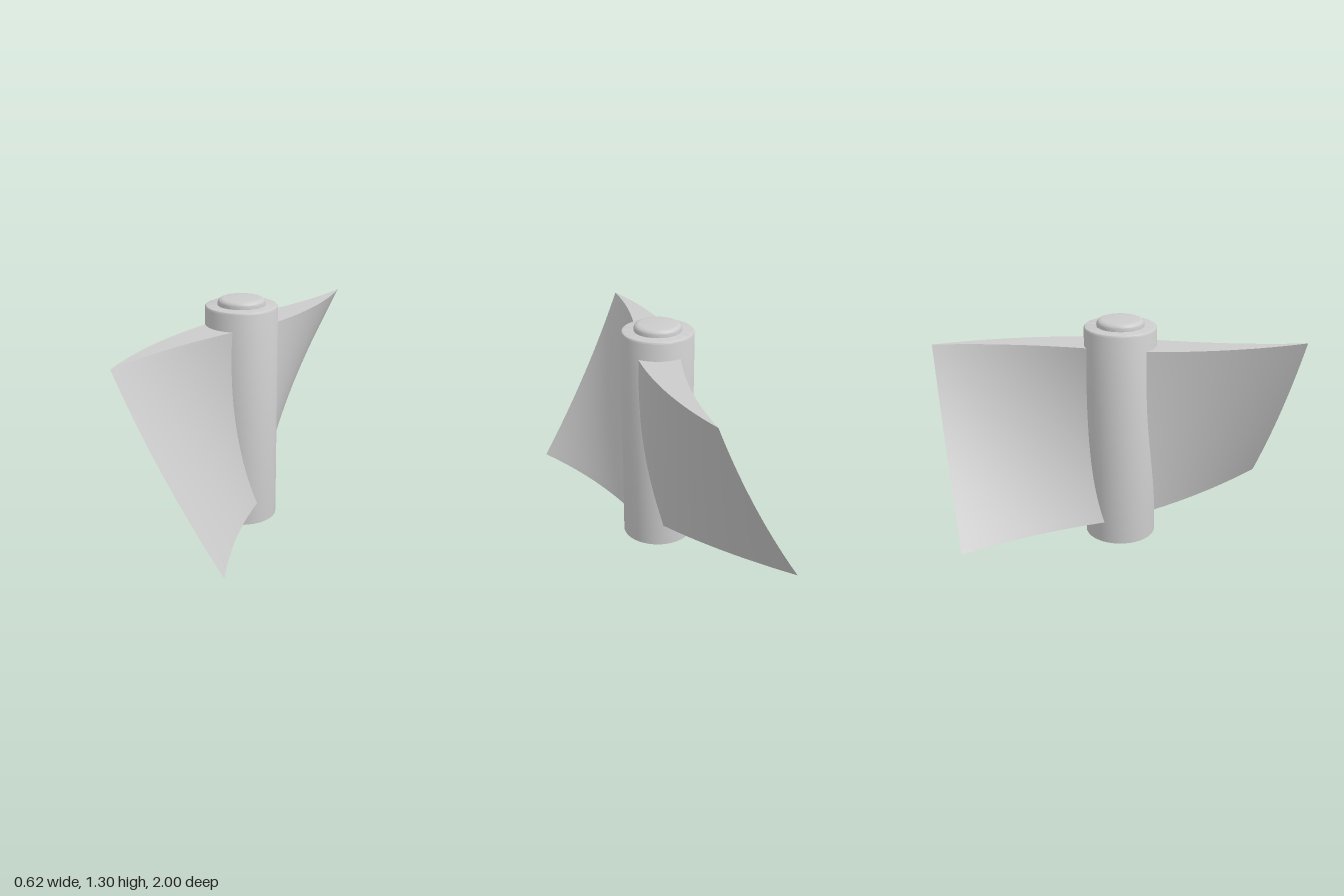
import * as THREE from 'three';
import { mergeGeometries, toCreasedNormals } from 'three/addons/utils/BufferGeometryUtils.js';
import { ParametricGeometry } from 'three/addons/geometries/ParametricGeometry.js';

const BOTTOM = 0.128, TOP = 1.154, ROOT_Z = 0.15;

// Quadratic through bottom, middle and top values
const blend = ([a, b, c], f) =>
  a * (1 - f) * (1 - 2 * f) + b * 4 * f * (1 - f) + c * f * (2 * f - 1);

// x at the blade root for both faces, and at the sharp tip
const ROOT_LEFT = [0.145, 0.048, 0.05];
const ROOT_RIGHT = [-0.09, -0.168, -0.2];
const TIP = [0.257, -0.055, -0.307];

// Point on the blade: side 0 = -x face, 1 = +x face; f up the span; r from axis to tip
function bladePoint(side, f, r, target) {
  const s = (r - ROOT_Z) / (1 - ROOT_Z);
  const tip = blend(TIP, f);
  const edge = (root) => THREE.MathUtils.lerp(blend(root, f), tip, s);
  const camber = (0.03 + 0.01 * f) * 4 * s * (1 - s);
  const x = THREE.MathUtils.lerp(edge(ROOT_RIGHT), edge(ROOT_LEFT), side) - camber;
  target.set(x, THREE.MathUtils.lerp(BOTTOM, TOP, f), r * (0.99 + 0.01 * f));
}

function bladeGeometry() {
  const surfaces = [
    new ParametricGeometry((u, v, t) => bladePoint(0, v, u, t), 28, 24), // -x face
    new ParametricGeometry((u, v, t) => bladePoint(1, u, v, t), 24, 28), // +x face
    new ParametricGeometry((u, v, t) => bladePoint(v, 1, u, t), 28, 2),  // top end
    new ParametricGeometry((u, v, t) => bladePoint(u, 0, v, t), 2, 28),  // bottom end
  ];
  surfaces.forEach((g) => g.computeVertexNormals());
  return mergeGeometries(surfaces);
}

// Turned solid with a quarter-round upper edge
function turned(radius, y0, y1, round) {
  const points = [new THREE.Vector2(0, y0), new THREE.Vector2(radius, y0)];
  for (let i = 0; i <= 6; i++) {
    const a = (i / 6) * Math.PI / 2;
    points.push(new THREE.Vector2(
      radius - round + round * Math.cos(a), y1 - round + round * Math.sin(a)));
  }
  points.push(new THREE.Vector2(0, y1));
  return toCreasedNormals(new THREE.LatheGeometry(points, 64), 0.6);
}

export function createModel() {
  const model = new THREE.Group();
  model.name = 'propeller';
  const material = new THREE.MeshStandardMaterial({ color: 0xcccccc });
  const add = (name, geometry) => {
    const mesh = new THREE.Mesh(geometry, material);
    mesh.name = name;
    model.add(mesh);
    return mesh;
  };

  // Hub and raised cap
  add('hub', turned(0.203, 0, 1.262, 0.012));
  add('hubCap', turned(0.133, 1.25, 1.3, 0.028));

  // Two twisted blades, half a turn apart
  const blade = bladeGeometry();
  add('frontBlade', blade);
  add('backBlade', blade).rotation.y = Math.PI;

  return model;
}
